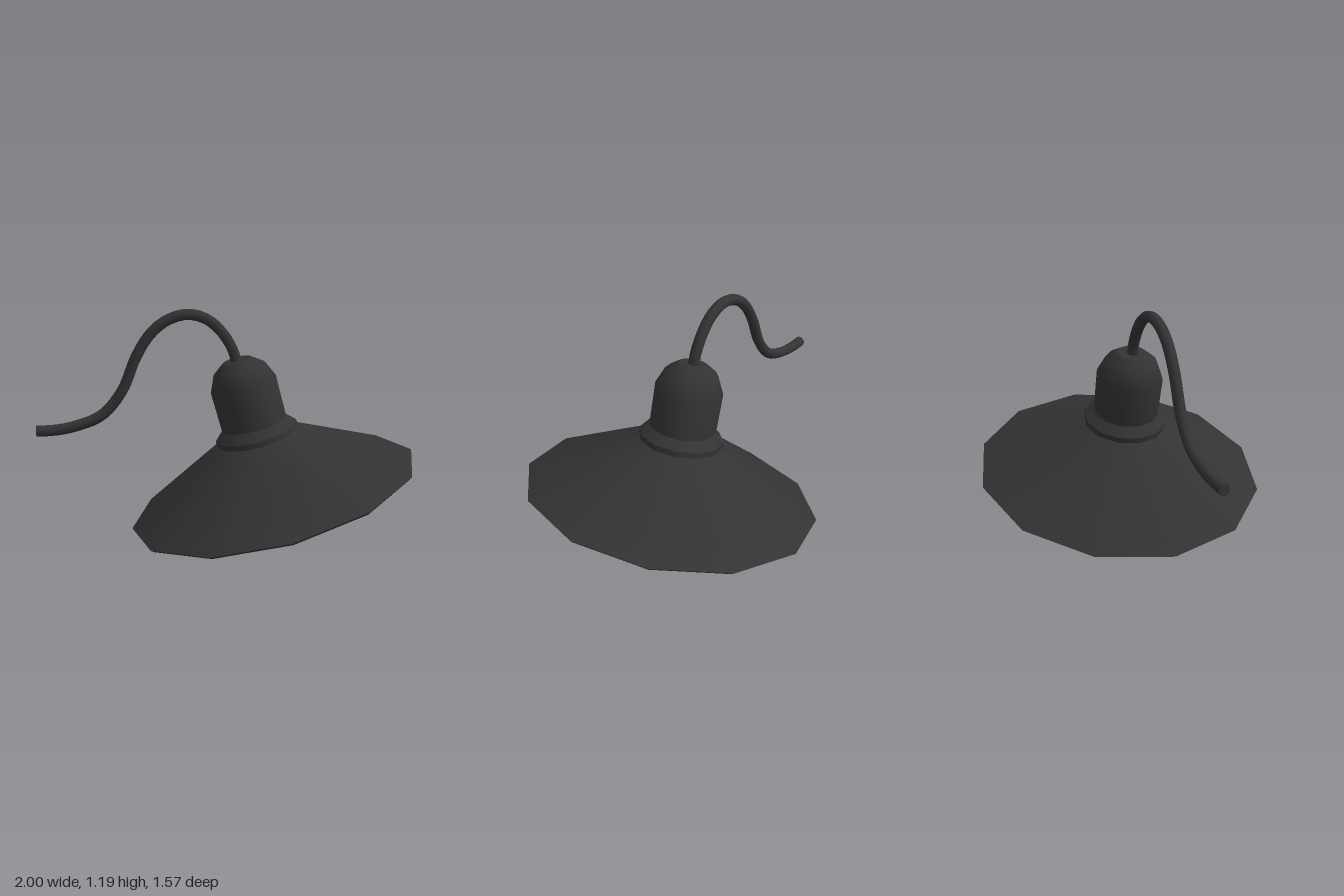
import * as THREE from 'three';

const darkMetal = new THREE.MeshStandardMaterial({ color: 0x333333 });
darkMetal.name = 'darkMetal';

// Twelve-sided turned surface; points are [radius, height], running upward for outward faces
function turned(name, points) {
  const profile = points.map(([r, h]) => new THREE.Vector2(r, h));
  const mesh = new THREE.Mesh(new THREE.LatheGeometry(profile, 12), darkMetal);
  mesh.name = name;
  return mesh;
}

export function createModel() {
  const model = new THREE.Group();
  model.name = 'gooseneckLamp';

  // Tilted lamp head, its origin at the centre of the shade's rim
  const head = new THREE.Group();
  head.name = 'lampHead';
  head.position.set(0.243, 0.203, 0);
  head.rotation.z = 0.265;
  model.add(head);

  // Each crease starts a new surface, so edges stay sharp
  head.add(
    turned('shadeInside', [[0, 0.3], [0.2, 0.3], [0.755, 0.012]]),
    turned('shadeLip', [[0.755, 0.012], [0.768, 0]]),
    turned('shadeRim', [[0.768, 0], [0.784, 0.014]]),
    turned('shadeOutside', [[0.784, 0.014], [0.222, 0.324]]),
    turned('collarBand', [[0.222, 0.324], [0.222, 0.355]]),
    turned('collarSlope', [[0.222, 0.355], [0.172, 0.402]]),
    turned('socketDome', [[0.175, 0.395], [0.177, 0.617], [0.138, 0.705], [0.077, 0.75]]),
    turned('socketTop', [[0.077, 0.75], [0, 0.75]])
  );

  // Swan-neck arm
  const path = new THREE.CatmullRomCurve3([
    [-1, 0.566], [-0.93, 0.567], [-0.82, 0.583], [-0.66, 0.645], [-0.55, 0.775],
    [-0.475, 0.95], [-0.4, 1.068], [-0.31, 1.14], [-0.2, 1.168], [-0.1, 1.137],
    [-0.02, 1.06], [0.03, 0.97], [0.046, 0.91]
  ].map(([x, y]) => new THREE.Vector3(x, y, 0)));
  const arm = new THREE.Mesh(new THREE.TubeGeometry(path, 40, 0.029, 10), darkMetal);
  arm.name = 'swanNeckArm';
  model.add(arm);

  // Closed wall end of the arm
  const end = new THREE.Mesh(new THREE.CircleGeometry(0.029, 10), darkMetal);
  end.name = 'armEnd';
  end.position.set(-1, 0.566, 0);
  end.rotation.y = -Math.PI / 2;
  model.add(end);

  return model;
}
